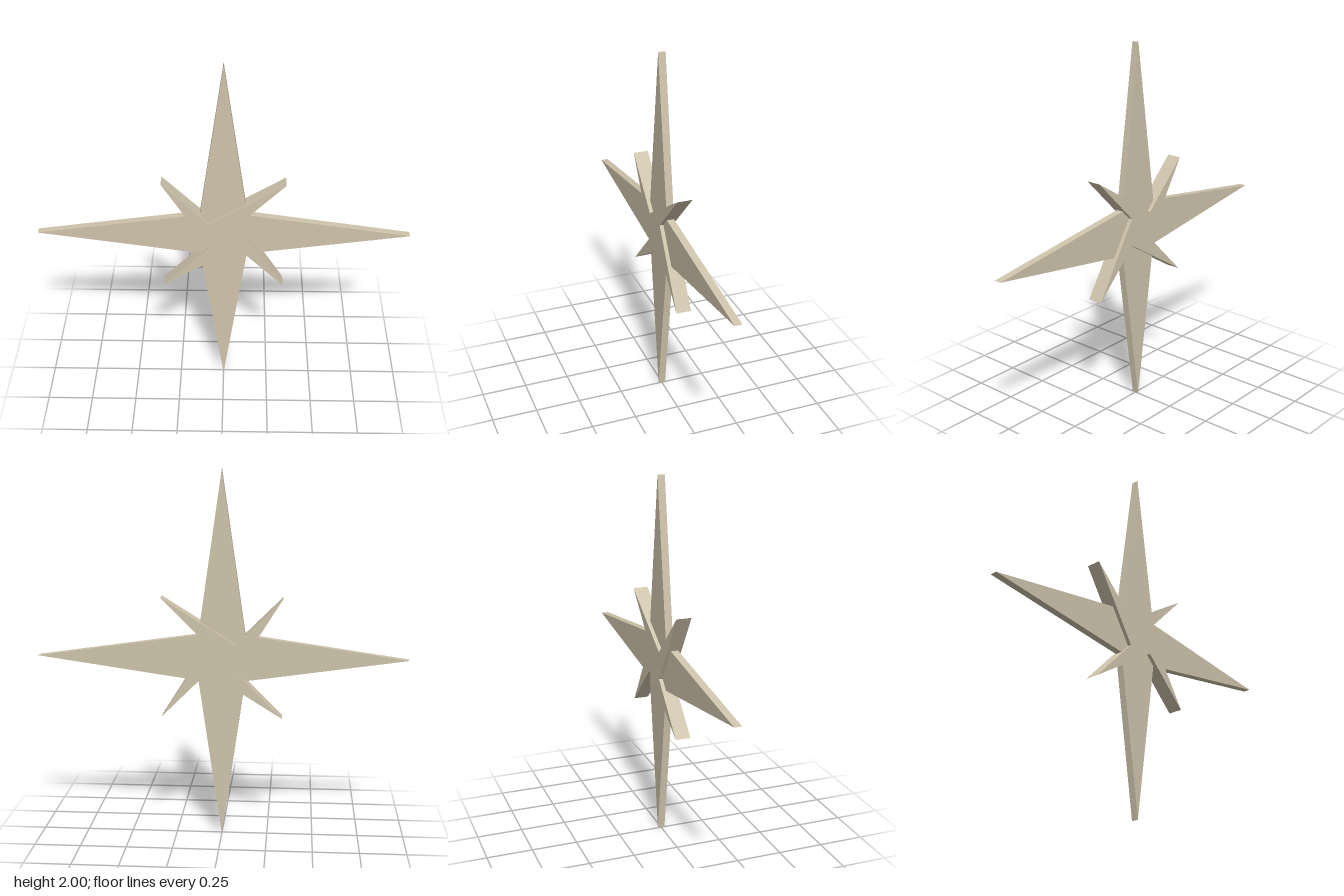
import * as THREE from 'three';

const beige = new THREE.MeshStandardMaterial({ color: 0xcfc4ac });
beige.name = 'warm beige';

// Flat star plate: a tip and a notch point, turned four times about the centre
function starPlate(name, tip, notch, depth) {
  const points = [];
  const origin = new THREE.Vector2();
  for (let i = 0; i < 4; i++) {
    for (const [x, y] of [tip, notch]) {
      points.push(new THREE.Vector2(x, y).rotateAround(origin, (i * Math.PI) / 2));
    }
  }
  const geometry = new THREE.ExtrudeGeometry(new THREE.Shape(points), { depth, bevelEnabled: false });
  geometry.translate(0, 0, -depth / 2);
  const mesh = new THREE.Mesh(geometry, beige);
  mesh.name = name;
  mesh.position.y = 1;
  return mesh;
}

export function createModel() {
  const group = new THREE.Group();
  group.name = 'compassStar';
  // Long thin four-pointed star
  group.add(starPlate('largeStar', [1, 0], [0.126, 0.126], 0.04));
  // Small thicker star with swept diagonal points
  group.add(starPlate('smallPinwheelStar', [0.327, 0.327], [-0.075, 0.076], 0.082));
  return group;
}
